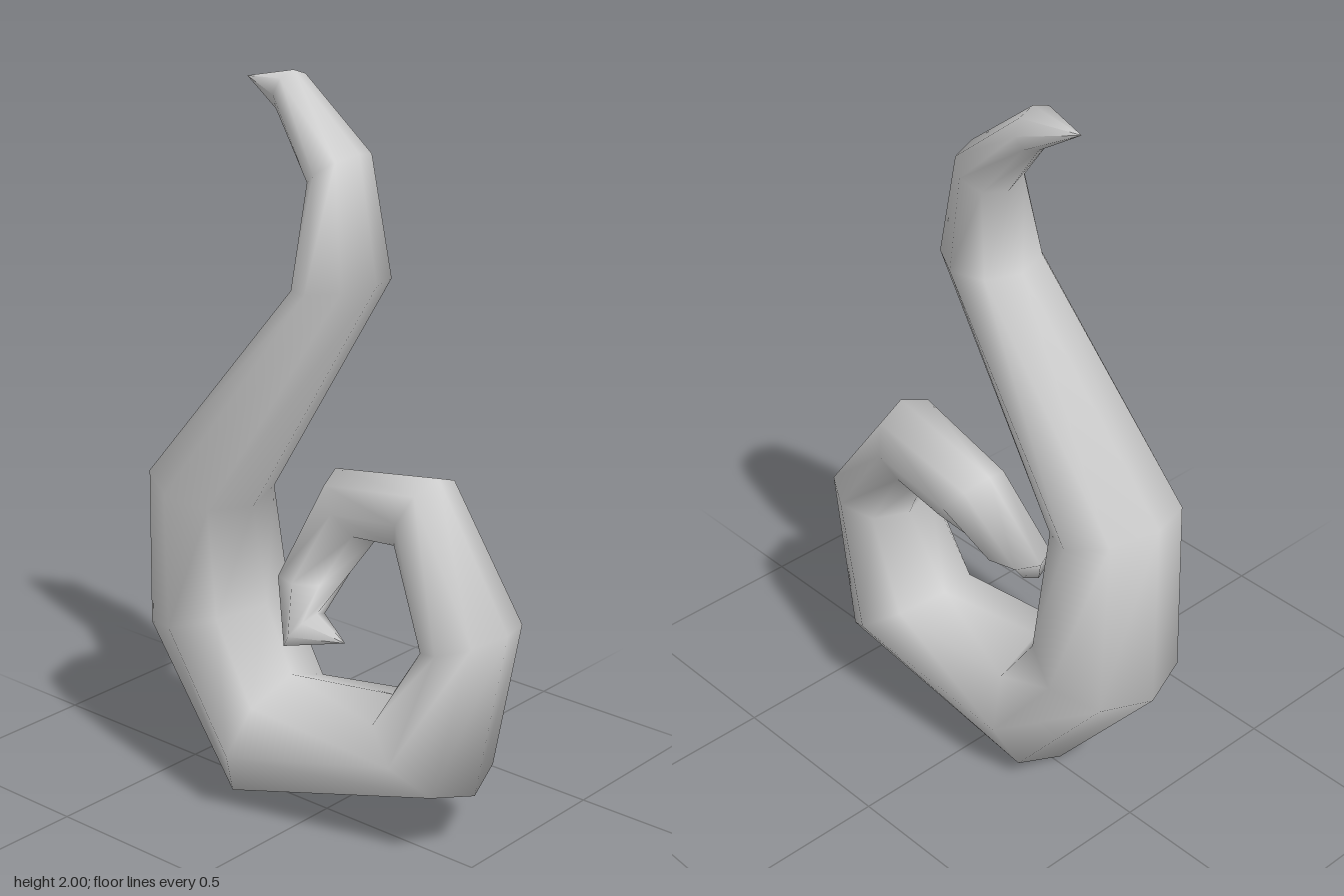
import * as THREE from 'three';

const SIDES = 8;

// Rings along the horn: [ax, ay, bx, by, zCentre, zHalfWidth]
// a = outside of the spiral, b = inside of the spiral
const RINGS = [
  [-0.295, 1.97, -0.295, 1.97, -0.03, 0.0], // upper tip
  [-0.17, 1.89, -0.15, 2.0, -0.045, 0.068],
  [-0.05, 1.73, 0.08, 1.82, -0.03, 0.1],
  [-0.05, 1.48, 0.18, 1.51, 0.02, 0.14],
  [-0.52, 0.93, -0.22, 0.84, 0.045, 0.185],
  [-0.57, 0.44, -0.22, 0.54, -0.005, 0.205],
  [-0.21, 0.0, -0.11, 0.375, 0.02, 0.207],
  [0.47, 0.18, 0.19, 0.385, -0.045, 0.185],
  [0.565, 0.66, 0.335, 0.58, -0.042, 0.15],
  [0.29, 1.0, 0.2, 0.79, -0.1, 0.118],
  [-0.07, 0.94, 0.07, 0.77, -0.115, 0.1],
  [-0.165, 0.66, 0.04, 0.675, -0.02, 0.09],
  [-0.05, 0.5, 0.04, 0.615, 0.085, 0.065],
  [0.175, 0.585, 0.175, 0.585, 0.13, 0.0], // inner tip
];

// Skin a closed tube over elliptical rings
function loftRings(rings) {
  const positions = [];
  const index = [];
  rings.forEach(([ax, ay, bx, by, z, half], i) => {
    for (let j = 0; j < SIDES; j++) {
      const t = (j / SIDES) * Math.PI * 2;
      const k = Math.cos(t) / 2;
      positions.push(
        (ax + bx) / 2 + (ax - bx) * k,
        (ay + by) / 2 + (ay - by) * k,
        z + half * Math.sin(t)
      );
      if (i === rings.length - 1) continue;
      const p = i * SIDES + j;
      const q = i * SIDES + ((j + 1) % SIDES);
      // the tips collapse to a point, so they need one triangle per side
      if (i > 0) index.push(p, p + SIDES, q);
      else index.push(p, p + SIDES, q + SIDES);
      if (i > 0 && i < rings.length - 2) index.push(q, p + SIDES, q + SIDES);
    }
  });
  const geometry = new THREE.BufferGeometry();
  geometry.setAttribute('position', new THREE.Float32BufferAttribute(positions, 3));
  geometry.setIndex(index);
  geometry.computeVertexNormals();
  return geometry;
}

export function createModel() {
  const group = new THREE.Group();
  group.name = 'spiralHorn';
  const material = new THREE.MeshStandardMaterial({ color: 0xcccccc });
  const horn = new THREE.Mesh(loftRings(RINGS), material);
  horn.name = 'curledTendril';
  group.add(horn);
  return group;
}
